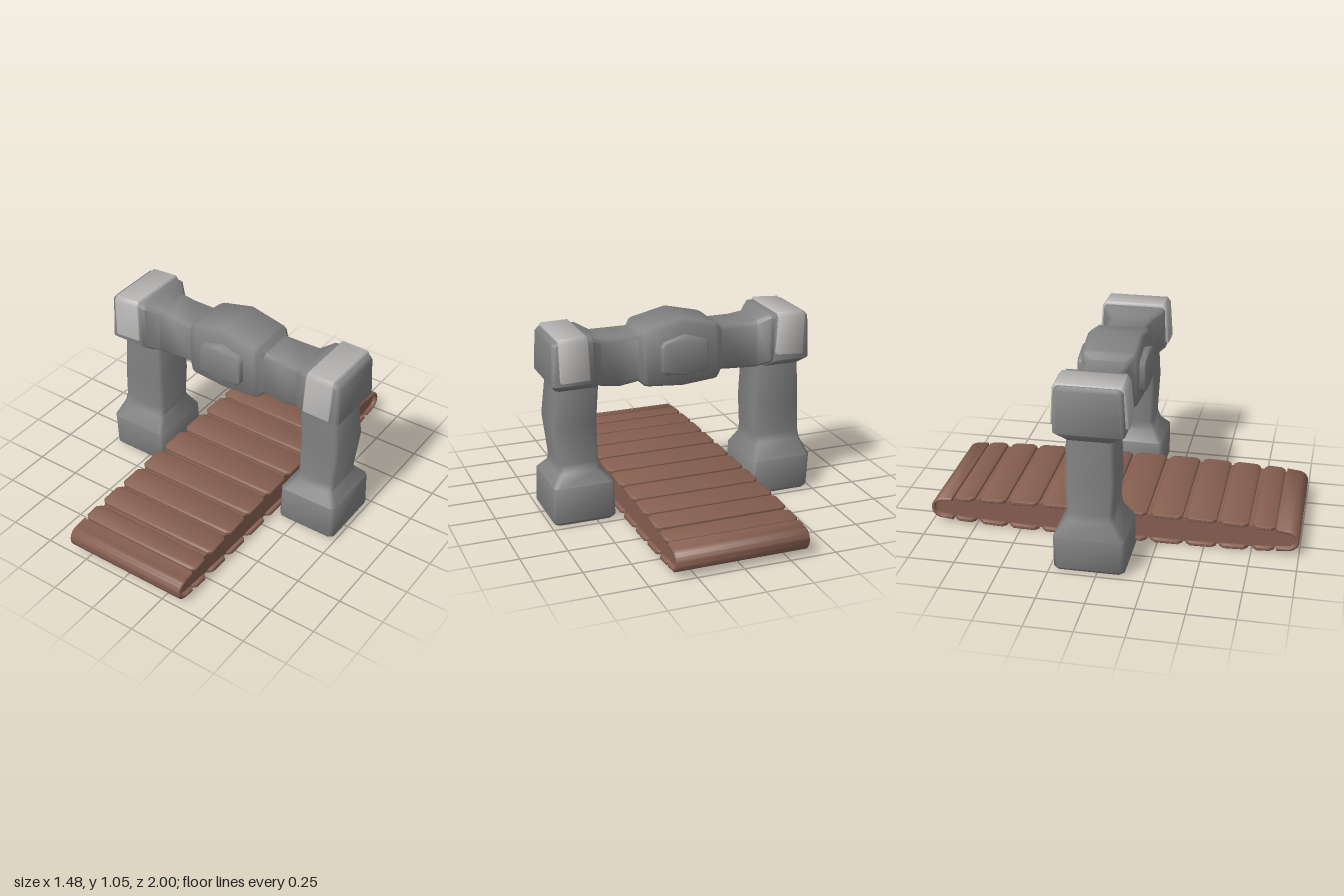
import * as THREE from 'three';
import { toCreasedNormals } from 'three/addons/utils/BufferGeometryUtils.js';

const stone = new THREE.MeshStandardMaterial({ color: 0x828282 });
const paleStone = new THREE.MeshStandardMaterial({ color: 0xb6b4b2 });
const wood = new THREE.MeshStandardMaterial({ color: 0x865f50 });
const CREASE = 0.95;

function add(parent, name, geometry, material) {
  const mesh = new THREE.Mesh(geometry, material);
  mesh.name = name;
  parent.add(mesh);
  return mesh;
}

// Solid through chamfered rectangles. Each section is [t, min, max, halfDepth]:
// along y min/max are x limits, along x they are y limits; depth is always z.
function loft(axis, sections, cut = 0.018) {
  const pos = [], idx = [];
  for (const [t, lo, hi, d] of sections) {
    const ring = [[lo + cut, -d], [hi - cut, -d], [hi, -d + cut], [hi, d - cut],
      [hi - cut, d], [lo + cut, d], [lo, d - cut], [lo, -d + cut]];
    if (axis === 'y') ring.reverse();
    for (const [a, z] of ring) pos.push(...(axis === 'y' ? [a, t, z] : [t, a, z]));
  }
  const last = (sections.length - 1) * 8;
  for (let s = 0; s < last; s += 8) {
    for (let i = 0; i < 8; i++) {
      const a = s + i, b = s + (i + 1) % 8;
      idx.push(a, b, b + 8, a, b + 8, a + 8);
    }
  }
  for (let i = 1; i < 7; i++) idx.push(0, i + 1, i, last, last + i, last + i + 1);
  const g = new THREE.BufferGeometry();
  g.setAttribute('position', new THREE.Float32BufferAttribute(pos, 3));
  g.setIndex(idx);
  return toCreasedNormals(g, CREASE);
}

// Extrusion centred on its depth; the bevel is included in the depth.
function slab(shape, depth, bevel = 0) {
  const g = new THREE.ExtrudeGeometry(shape, {
    depth: depth - 2 * bevel, bevelEnabled: bevel > 0, bevelSize: bevel,
    bevelThickness: bevel, bevelOffset: -bevel, bevelSegments: 1, curveSegments: 12,
  });
  g.translate(0, 0, -(depth - 2 * bevel) / 2);
  return toCreasedNormals(g, CREASE);
}

const polygon = (pts) => new THREE.Shape(pts.map(([x, y]) => new THREE.Vector2(x, y)));

function buildGate() {
  const gate = new THREE.Group();
  gate.name = 'gate';
  gate.position.set(0.0025, 0, -0.04);

  // Two slightly uneven posts with wide feet
  add(gate, 'rightPost', loft('y', [
    [0.005, -0.715, -0.405, 0.172], [0.022, -0.73, -0.39, 0.185],
    [0.2, -0.74, -0.4, 0.185], [0.285, -0.705, -0.437, 0.13],
    [0.33, -0.7, -0.435, 0.118], [0.5, -0.69, -0.43, 0.127], [0.76, -0.68, -0.44, 0.12],
  ]), stone);
  add(gate, 'leftPost', loft('y', [
    [0.005, 0.41, 0.72, 0.172], [0.022, 0.395, 0.735, 0.185],
    [0.215, 0.402, 0.73, 0.185], [0.275, 0.465, 0.682, 0.135],
    [0.32, 0.465, 0.682, 0.118], [0.54, 0.473, 0.707, 0.127], [0.76, 0.455, 0.683, 0.12],
  ]), stone);

  // Heads on the posts
  add(gate, 'rightHead', loft('y', [
    [0.73, -0.685, -0.46, 0.125], [0.772, -0.716, -0.5, 0.182],
    [1.0, -0.708, -0.5, 0.174], [1.02, -0.695, -0.51, 0.162],
  ]), stone);
  add(gate, 'leftHead', loft('y', [
    [0.73, 0.46, 0.69, 0.125], [0.772, 0.5, 0.722, 0.182],
    [0.985, 0.5, 0.715, 0.174], [1.005, 0.51, 0.7, 0.162],
  ]), stone);

  // Crossbeam flaring into the heads and swelling to a peaked middle
  add(gate, 'crossbeam', loft('x', [
    [-0.54, 0.76, 1.025, 0.174], [-0.49, 0.755, 1.025, 0.17],
    [-0.435, 0.725, 0.985, 0.118], [-0.35, 0.728, 0.975, 0.115],
    [-0.23, 0.735, 0.975, 0.115], [-0.2, 0.703, 1.0, 0.14],
    [-0.18, 0.7, 1.008, 0.148], [0, 0.685, 1.05, 0.15],
    [0.19, 0.7, 1.008, 0.148], [0.21, 0.703, 1.0, 0.14],
    [0.235, 0.725, 0.975, 0.115], [0.34, 0.71, 0.975, 0.115],
    [0.44, 0.725, 0.975, 0.118], [0.5, 0.76, 1.005, 0.17], [0.54, 0.76, 1.005, 0.174],
  ]), stone);

  // Raised plate on both faces of the beam
  add(gate, 'centrePlate', slab(polygon([
    [-0.13, 0.785], [-0.11, 0.765], [0, 0.755], [0.11, 0.765], [0.13, 0.785],
    [0.13, 0.915], [0.11, 0.938], [0, 0.97], [-0.11, 0.938], [-0.13, 0.915],
  ]), 0.365, 0.008), stone);

  // Paler pads draped over the heads
  const padShape = polygon([[-0.198, -0.115], [0.198, -0.115], [0.183, 0.085],
    [0.165, 0.11], [-0.165, 0.11], [-0.183, 0.085]]);
  const padGeometry = slab(padShape, 0.158, 0.006).rotateY(Math.PI / 2);
  const rightPad = add(gate, 'rightPad', padGeometry, paleStone);
  rightPad.position.set(-0.6, 0.922, 0);
  rightPad.rotation.z = 0.07;
  const leftPad = add(gate, 'leftPad', padGeometry, paleStone);
  leftPad.position.set(0.605, 0.91, 0);
  leftPad.rotation.z = -0.02;
  return gate;
}

function buildBridge() {
  const bridge = new THREE.Group();
  bridge.name = 'bridge';
  bridge.position.set(0.003, 0.088, 0);
  const height = (z) => 0.086 - 0.026 * Math.abs(z) ** 3;

  // Lens-shaped core under the slats
  const top = [];
  for (let i = 0; i <= 12; i++) {
    const z = -0.93 + 1.86 * i / 12;
    top.push([z, height(z) - 0.014]);
  }
  const tip = [[0.968, 0.04], [0.984, 0.02], [0.988, 0], [0.984, -0.02], [0.968, -0.04]];
  const outline = [...top, ...tip, ...top.map(([z, y]) => [-z, -y]),
    ...tip.map(([z, y]) => [-z, -y])];
  add(bridge, 'core', slab(polygon(outline), 0.67).rotateY(-Math.PI / 2), wood);

  // Rounded wraps on both ends
  const wrap = new THREE.Shape();
  wrap.moveTo(0.88, 0.067);
  wrap.lineTo(0.94, 0.06);
  wrap.absarc(0.94, 0, 0.06, Math.PI / 2, -Math.PI / 2, true);
  wrap.lineTo(0.88, -0.067);
  wrap.lineTo(0.88, -0.046);
  wrap.lineTo(0.94, -0.04);
  wrap.absarc(0.94, 0, 0.04, -Math.PI / 2, Math.PI / 2, false);
  wrap.lineTo(0.88, 0.046);
  for (const side of [-1, 1]) {
    add(bridge, side > 0 ? 'frontWrap' : 'backWrap',
      slab(wrap, 0.714, 0.006).rotateY(-side * Math.PI / 2), wood);
  }

  // Slats with clipped corners, above and below
  const slats = [[0.1, 0.18], [0.297, 0.17], [0.482, 0.162], [0.655, 0.152], [0.813, 0.116]];
  for (const face of ['top', 'bottom']) {
    const layer = new THREE.Group();
    layer.name = face + 'Slats';
    if (face === 'bottom') layer.rotation.z = Math.PI;
    bridge.add(layer);
    for (const [centre, width] of slats) {
      const w = width / 2, x = 0.357, c = 0.022;
      const plan = polygon([[-x + c, -w], [x - c, -w], [x, -w + c], [x, w - c],
        [x - c, w], [-x + c, w], [-x, w - c], [-x, -w + c]]);
      const geometry = slab(plan, 0.022, 0.005).rotateX(-Math.PI / 2);
      for (const side of [-1, 1]) {
        const z = side * centre;
        const slat = add(layer, 'slat', geometry, wood);
        slat.position.set(0, height(z) - 0.011, z);
        slat.rotation.x = Math.atan(0.078 * z * Math.abs(z));
      }
    }
  }
  return bridge;
}

export function createModel() {
  const model = new THREE.Group();
  model.name = 'gateAndBridge';
  model.add(buildGate(), buildBridge());
  return model;
}
